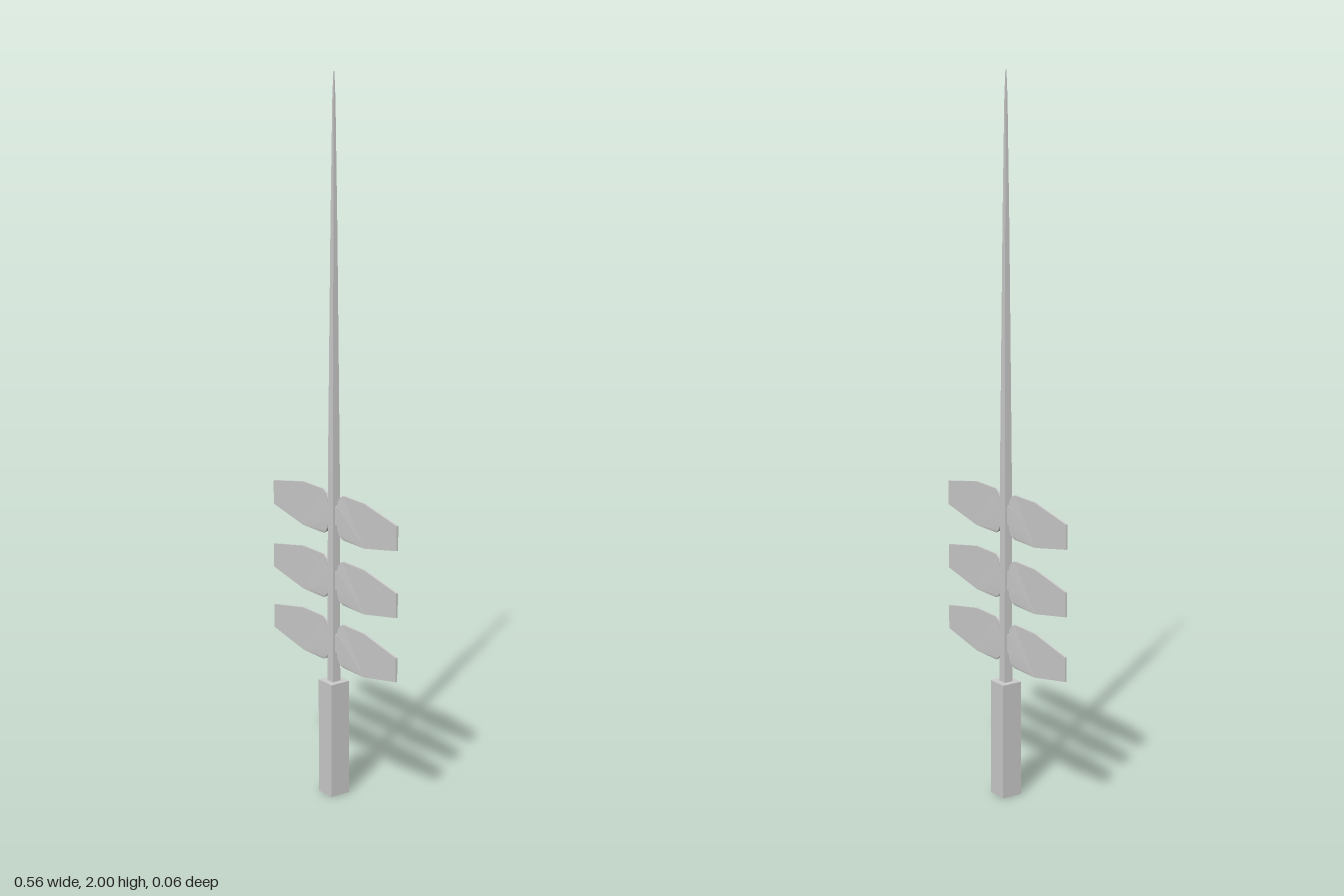
import * as THREE from 'three';

const material = new THREE.MeshStandardMaterial({ color: 0xcccccc, flatShading: true });

// Square shaft through [y, halfWidth] rings, with faces square to the axes
function squareShaft(rings) {
  const points = rings.map(([y, half]) => new THREE.Vector2(half * Math.SQRT2, y));
  points.unshift(new THREE.Vector2(0, rings[0][0]));
  points.push(new THREE.Vector2(0, rings[rings.length - 1][0]));
  return new THREE.LatheGeometry(points, 4, Math.PI / 4);
}

// Flat blade reaching to +x, with a narrow neck at the shaft
function bladeGeometry() {
  const upper = [
    [0.005, 0.026], [0.02, 0.026], [0.023, 0.042], [0.031, 0.054],
    [0.045, 0.062], [0.14, 0.062], [0.28, 0.034],
  ];
  const lower = upper.map(([x, y]) => [x, -y]).reverse();
  const shape = new THREE.Shape([...upper, ...lower].map(([x, y]) => new THREE.Vector2(x, y)));
  const geometry = new THREE.ExtrudeGeometry(shape, { depth: 2, bevelEnabled: false });
  geometry.translate(0, 0, -1);
  // The root is slightly thicker than the rest of the blade
  const p = geometry.attributes.position;
  for (let i = 0; i < p.count; i++) {
    const root = THREE.MathUtils.clamp((0.045 - p.getX(i)) / 0.02, 0, 1);
    p.setZ(i, p.getZ(i) * (0.0027 + 0.002 * root));
  }
  geometry.computeVertexNormals();
  return geometry;
}

export function createModel() {
  const group = new THREE.Group();
  const add = (name, geometry) => {
    const mesh = new THREE.Mesh(geometry, material);
    mesh.name = name;
    group.add(mesh);
    return mesh;
  };

  // Handle block
  add('handle', new THREE.BoxGeometry(0.06, 0.33, 0.06)).position.y = 0.165;

  // Long mast narrowing to a fine tip
  add('mast', squareShaft([
    [0.32, 0.0127], [0.93, 0.0115], [1.27, 0.009],
    [1.6, 0.0065], [1.93, 0.003], [2, 0.001],
  ]));

  // Three mirrored pairs of blades
  const blade = bladeGeometry();
  [0.442, 0.622, 0.807].forEach((y, i) => {
    for (const side of [1, -1]) {
      const mesh = add(`${side > 0 ? 'left' : 'right'}Blade${i + 1}`, blade);
      mesh.position.y = y;
      mesh.rotation.y = side > 0 ? 0 : Math.PI;
    }
  });

  return group;
}
